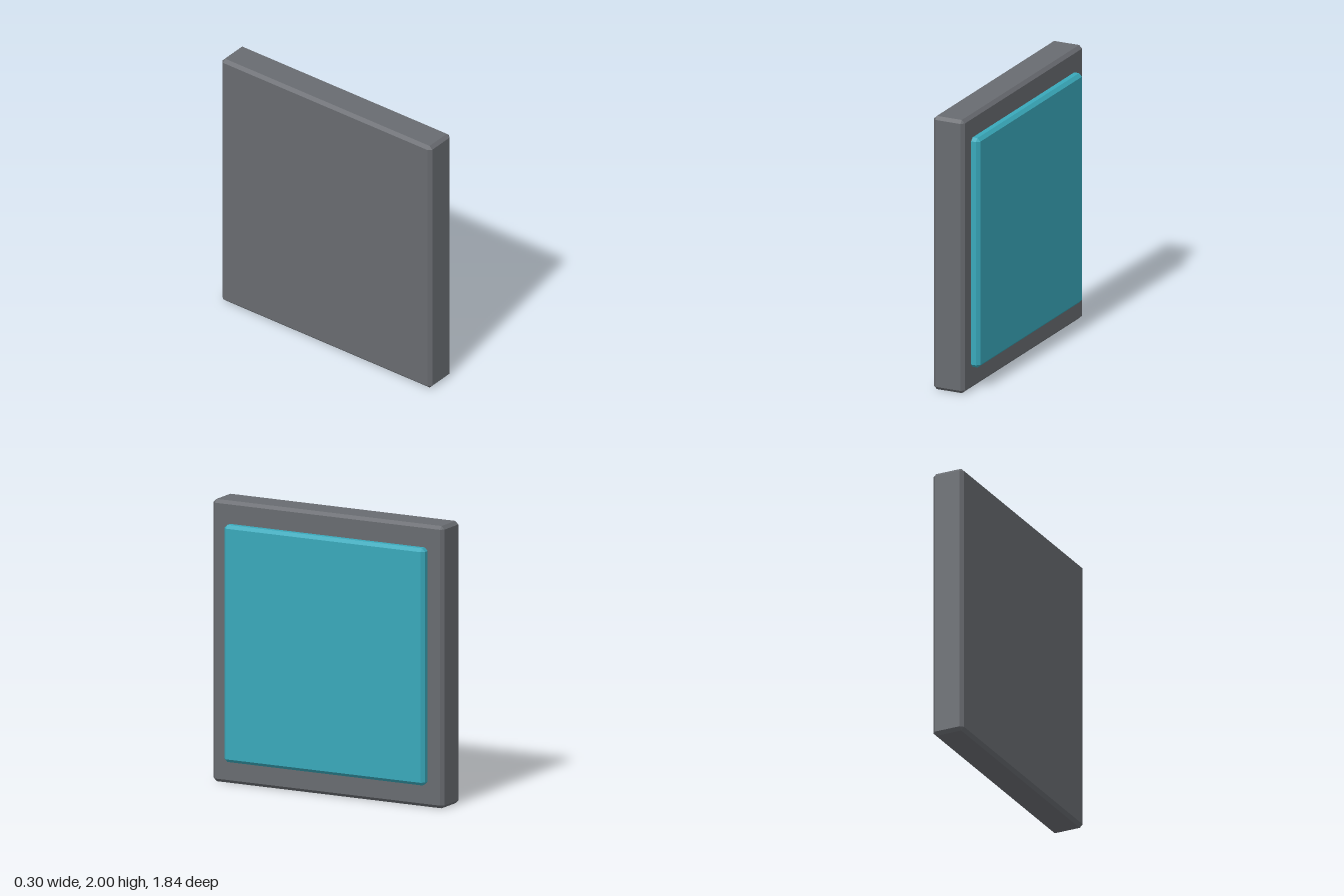
import * as THREE from 'three';
import { ConvexGeometry } from 'three/addons/geometries/ConvexGeometry.js';

// Box with a flat bevel on every edge and a small triangle at every corner
function bevelledBox(w, h, d, bevel) {
  const points = [];
  for (const sx of [-1, 1]) for (const sy of [-1, 1]) for (const sz of [-1, 1]) {
    for (let axis = 0; axis < 3; axis++) {
      // each corner splits into three points, each lying on one face
      const p = [w / 2 - bevel, h / 2 - bevel, d / 2 - bevel];
      p[axis] += bevel;
      points.push(new THREE.Vector3(sx * p[0], sy * p[1], sz * p[2]));
    }
  }
  return new ConvexGeometry(points);
}

function addPart(group, name, color, min, max, bevel) {
  const size = max.map((v, i) => v - min[i]);
  const material = new THREE.MeshStandardMaterial({ color, flatShading: true });
  const mesh = new THREE.Mesh(bevelledBox(...size, bevel), material);
  mesh.name = name;
  mesh.position.set(...min.map((v, i) => (v + max[i]) / 2));
  group.add(mesh);
}

export function createModel() {
  const group = new THREE.Group();
  group.name = 'wallPanel';
  // Upright backing slab
  addPart(group, 'backingSlab', 0x686b70, [-0.15, 0, -0.92], [0.09, 2, 0.92], 0.023);
  // Raised face panel, partly sunk into the slab
  addPart(group, 'facePanel', 0x39a8ba, [0.03, 0.16, -0.8], [0.15, 1.84, 0.8], 0.023);
  return group;
}
